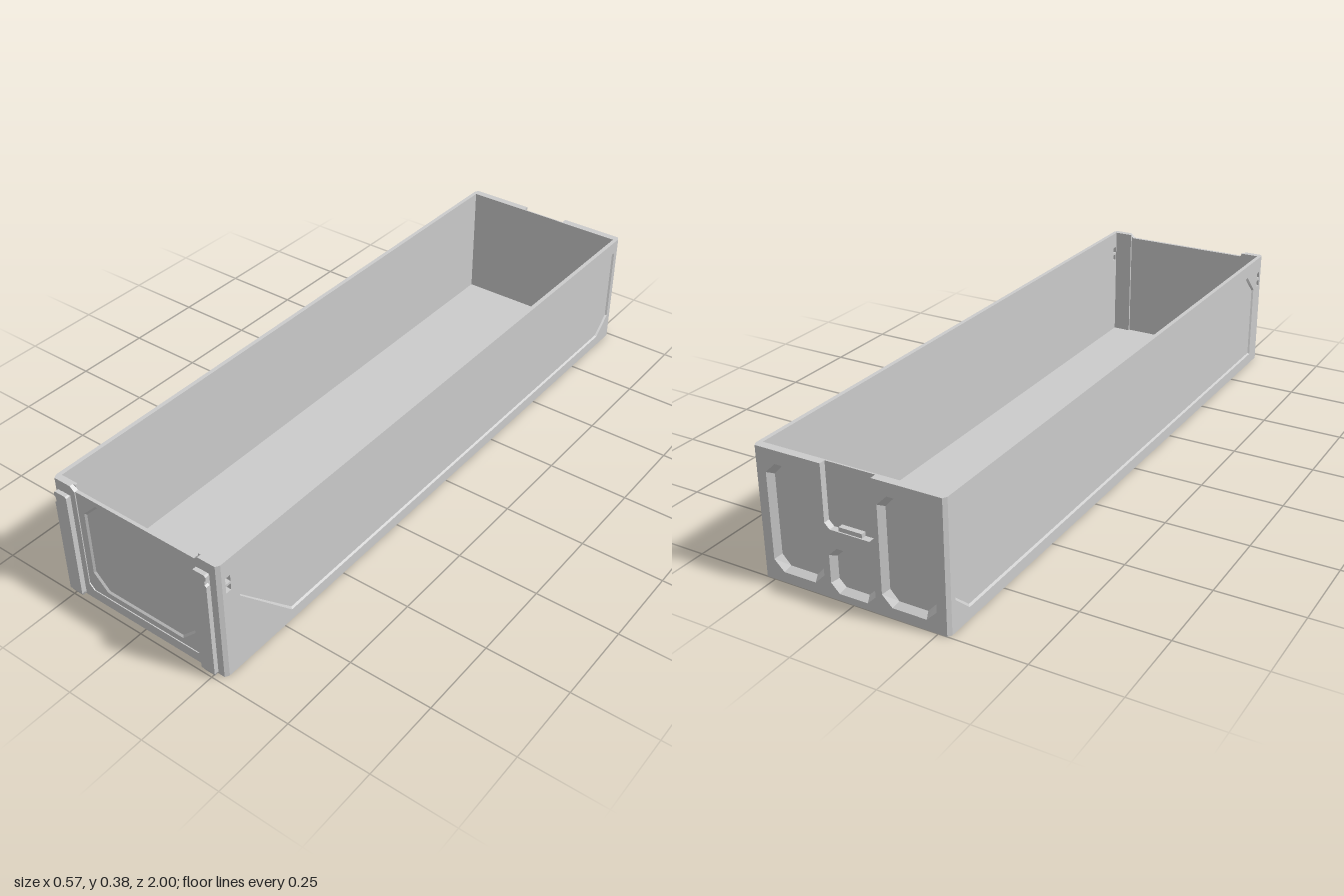
import * as THREE from 'three';

const W = 0.283, H = 0.378, T = 0.013;      // half width, height, side wall thickness
const ZF = 0.98, ZB = -1;                   // front and back faces
const CX = 0.007, CZ = 0.012;               // corner chamfer
const mat = new THREE.MeshStandardMaterial({ color: 0xcccccc, side: THREE.DoubleSide });

const mesh = (name, geo) => {
  const m = new THREE.Mesh(geo, mat);
  m.name = name;
  return m;
};
const vec = pts => pts.map(p => new THREE.Vector2(p[0], p[1]));
const rect = (x0, x1, y0, y1) => [[x0, y0], [x1, y0], [x1, y1], [x0, y1]];
const chamfered = (x0, x1, y0, y1, c) => [
  [x0 + c, y0], [x1 - c, y0], [x1, y0 + c], [x1, y1 - c],
  [x1 - c, y1], [x0 + c, y1], [x0, y1 - c], [x0, y0 + c]];
const mirrorX = pts => pts.map(([x, y]) => [-x, y]).reverse();

// Flat plate with holes, spanning z0..z1
function plate(name, outline, holes, z0, z1) {
  const s = new THREE.Shape(vec(outline));
  holes.forEach(h => s.holes.push(new THREE.Path(vec(h))));
  const g = new THREE.ExtrudeGeometry(s, { depth: z1 - z0, bevelEnabled: false });
  return mesh(name, g.translate(0, 0, z0));
}

function box(name, x0, x1, y0, y1, z0, z1) {
  const g = new THREE.BoxGeometry(x1 - x0, y1 - y0, z1 - z0);
  return mesh(name, g.translate((x0 + x1) / 2, (y0 + y1) / 2, (z0 + z1) / 2));
}

// Sloped rim from an outline at zTop to a smaller outline at zTop - depth
function slopedRim(pts, inset, zTop, depth) {
  const b = new THREE.Box2().setFromPoints(vec(pts));
  const c = b.getCenter(new THREE.Vector2()), s = b.getSize(new THREE.Vector2());
  const inner = pts.map(([x, y]) => [
    c.x + (x - c.x) * (1 - 2 * inset / s.x),
    c.y + (y - c.y) * (1 - 2 * inset / s.y)]);
  const pos = [];
  pts.forEach((p, i) => {
    const j = (i + 1) % pts.length;
    const a = [...p, zTop], d = [...pts[j], zTop];
    const e = [...inner[i], zTop - depth], f = [...inner[j], zTop - depth];
    pos.push(...a, ...d, ...f, ...a, ...f, ...e);
  });
  const g = new THREE.BufferGeometry();
  g.setAttribute('position', new THREE.Float32BufferAttribute(pos, 3));
  g.computeVertexNormals();
  return mesh('recessRim', g);
}

// Wall whose outer face is local z = 0, with sloped recesses and through slots
function wall(name, { skin, core, recesses, slots = [], depth, thickness, inset }) {
  const g = new THREE.Group();
  g.name = name;
  g.add(plate('outerSkin', skin, [...recesses, ...slots], -depth, 0));
  g.add(plate('innerCore', core, slots, -thickness, -depth));
  recesses.forEach(r => g.add(slopedRim(r, inset, 0, depth)));
  return g;
}

export function createModel() {
  const root = new THREE.Group();
  root.name = 'openDrawerBin';
  const xw = W - CX;

  // Floor
  root.add(box('floor', -W + 0.004, W - 0.004, 0, 0.01, ZB + CZ, ZF - CZ));

  // Side walls, drawn as (z, y)
  const sideOutline = rect(ZB + CZ, ZF - CZ, 0, H);
  const slots = [rect(0.938, 0.956, 0.277, 0.297), rect(0.938, 0.956, 0.305, 0.325)];
  const leftPanel = [[0.72, 0.035], [0.91, 0.235], [0.91, 0.28], [0.85, 0.335],
    [-0.97, 0.335], [-0.97, 0.09], [-0.91, 0.035]];
  const rightPanel = [[0.91, 0.035], [0.91, 0.275], [0.85, 0.335],
    [-0.97, 0.335], [-0.97, 0.09], [-0.91, 0.035]];
  for (const s of [1, -1]) {
    const flip = s > 0 ? mirrorX : p => p;
    const side = wall(s > 0 ? 'leftWall' : 'rightWall', {
      skin: flip(sideOutline), core: flip(sideOutline),
      recesses: [flip(s > 0 ? leftPanel : rightPanel)], slots: slots.map(flip),
      depth: 0.005, thickness: T, inset: 0.005 });
    side.rotation.y = s * Math.PI / 2;
    side.position.x = s * W;
    root.add(side);
  }

  // Front wall with a lowered top edge and octagonal recess
  const frontOutline = [[-xw, 0], [xw, 0], [xw, H], [0.22, H], [0.205, 0.365],
    [-0.205, 0.365], [-0.22, H], [-xw, H]];
  const front = wall('frontWall', {
    skin: frontOutline, core: frontOutline,
    recesses: [chamfered(-0.183, 0.183, 0.05, 0.35, 0.047)],
    depth: 0.005, thickness: 0.01, inset: 0.005 });
  front.position.z = ZF - 0.003;
  root.add(front);

  // Raised surround of the front panel
  root.add(plate('frontSurround', [[-xw, 0], [xw, 0], [xw, H], [0.22, H], [0.205, 0.365],
    [0.205, 0.048], [0.188, 0.031], [-0.188, 0.031], [-0.205, 0.048], [-0.205, 0.365],
    [-0.22, H], [-xw, H]], [], ZF - 0.003, ZF));

  // Back wall with two tall pockets, a low pocket and an open centre notch
  const back = wall('backWall', {
    skin: [[-xw, 0], [xw, 0], [xw, H], [0.075, H], [0.075, 0.215], [0.06, 0.2],
      [-0.06, 0.2], [-0.075, 0.215], [-0.075, H], [-xw, H]],
    core: rect(-xw, xw, 0, H),
    recesses: [
      chamfered(0.088, 0.248, 0.03, 0.34, 0.03),
      chamfered(-0.248, -0.088, 0.03, 0.34, 0.03),
      chamfered(-0.068, 0.068, 0.02, 0.15, 0.025)],
    depth: 0.019, thickness: 0.024, inset: 0.012 });
  back.rotation.y = Math.PI;
  back.position.z = ZB;
  root.add(back);
  root.add(box('latchLedge', -0.035, 0.035, 0.198, 0.212, ZB + 0.004, ZB + 0.02));

  for (const s of [1, -1]) {
    // Chamfered vertical corners
    for (const [zEnd, dir] of [[ZF, -1], [ZB, 1]]) {
      const zIn = zEnd + dir * CZ;
      const corner = plate('cornerChamfer',
        [[s * xw, -zEnd], [s * W, -zIn], [s * xw, -zIn]], [], 0, H);
      corner.rotation.x = -Math.PI / 2;
      root.add(corner);
    }

    // Inner pillars beside the front opening
    const xs = [s * 0.212, s * (W - T)].sort((a, b) => a - b);
    root.add(box('innerPillar', xs[0], xs[1], 0.01, H, ZF - 0.02, ZF - 0.012));

    // T-shaped front rail: narrow stem, wide notched head, sloped foot
    const rail = new THREE.Group();
    rail.name = 'frontRail';
    rail.position.set(s * 0.2395, 0, 0);
    rail.add(box('railStem', -0.016, 0.016, 0.006, 0.345, ZF, 0.99));
    const h = 0.0225;
    const head = [[-h, 0.018], [h, 0.018], [h, 0.318], [h - 0.005, 0.323],
      [h - 0.005, 0.335], [h, 0.34], [h, 0.35], [h - 0.004, 0.355],
      [-h + 0.004, 0.355], [-h, 0.35]];
    rail.add(plate('railHead', s > 0 ? head : mirrorX(head), [], 0.988, 1));
    const foot = plate('railFoot',
      [[-0.015, 0.002], [0.015, 0.002], [h, 0.018], [-h, 0.018]], [], 0.988, 1);
    const p = foot.geometry.attributes.position;
    for (let i = 0; i < p.count; i++) {
      if (p.getY(i) < 0.01) p.setZ(i, p.getZ(i) - 0.008);
    }
    foot.geometry.computeVertexNormals();
    rail.add(foot);
    root.add(rail);
  }
  return root;
}
